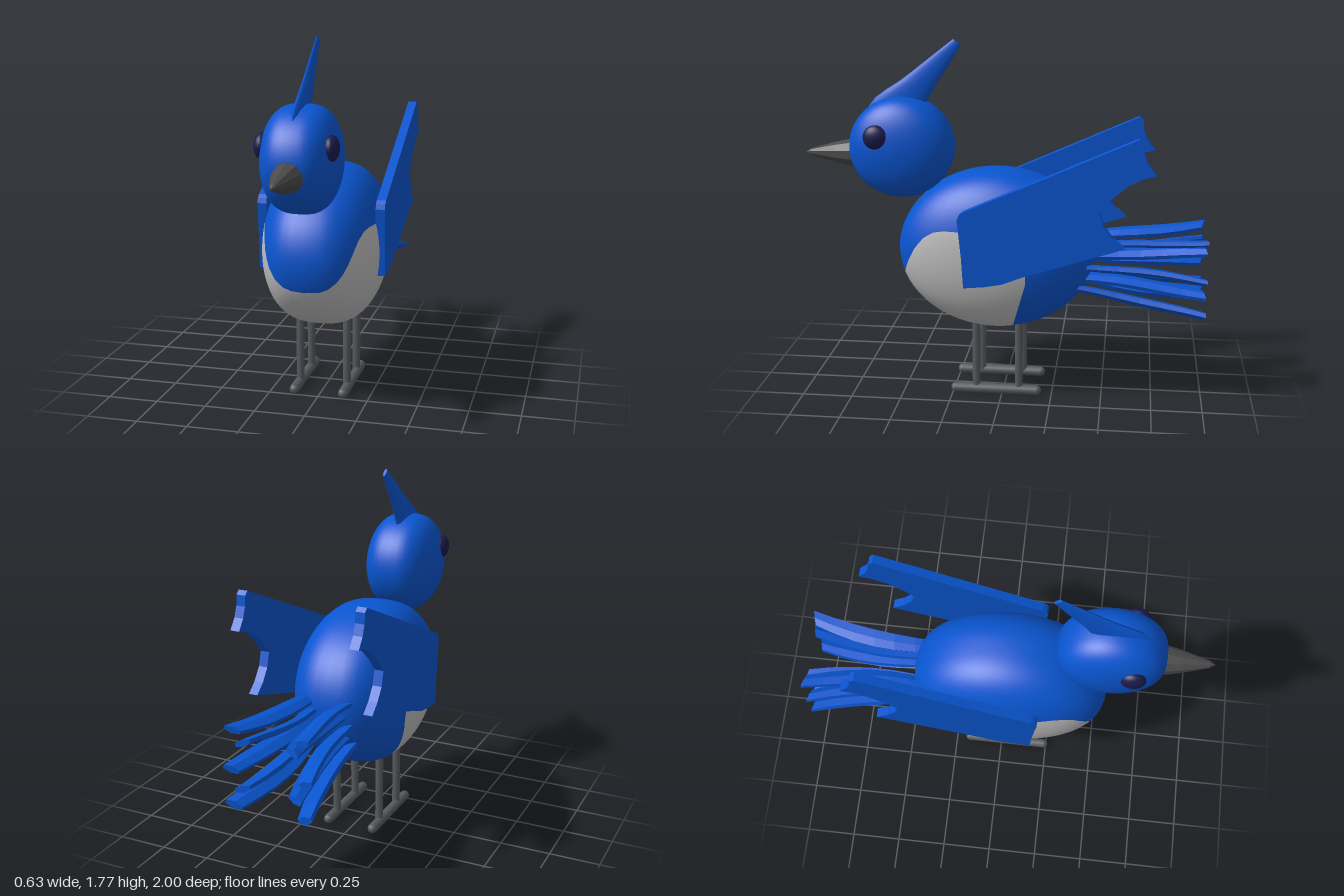
import * as THREE from 'three';

const mat = (name, color) => Object.assign(new THREE.MeshStandardMaterial({ color }), { name });

// Ellipsoid with flattened flanks (squareness below 1 fills out the sides), with exact normals.
function roundedForm(center, radii, squareness) {
  const g = new THREE.SphereGeometry(1, 48, 32);
  const p = g.attributes.position, n = g.attributes.normal, normal = new THREE.Vector3();
  for (let i = 0; i < p.count; i++) {
    const x = p.getX(i), y = p.getY(i), z = p.getZ(i), s = Math.sign(x);
    normal.set(s * Math.abs(x) ** (2 - squareness) / squareness / radii[0], y / radii[1], z / radii[2]).normalize();
    p.setXYZ(i, s * Math.abs(x) ** squareness * radii[0], y * radii[1], z * radii[2]);
    n.setXYZ(i, normal.x, normal.y, normal.z);
  }
  return g.translate(...center);
}

// Splits a geometry along the curve field(x, y, z) = 0; returns the [inside, outside] geometries.
function split(geometry, field) {
  const g = geometry.toNonIndexed();
  const p = g.attributes.position, n = g.attributes.normal;
  const corner = i => [p.getX(i), p.getY(i), p.getZ(i), n.getX(i), n.getY(i), n.getZ(i)];
  return [1, -1].map(sign => {
    const pos = [], nor = [];
    for (let i = 0; i < p.count; i += 3) {
      const tri = [corner(i), corner(i + 1), corner(i + 2)], poly = [];
      tri.forEach((a, k) => {
        const b = tri[(k + 1) % 3];
        const fa = sign * field(...a), fb = sign * field(...b);
        if (fa >= 0) poly.push(a);
        if (fa >= 0 !== fb >= 0) poly.push(a.map((v, j) => v + (b[j] - v) * fa / (fa - fb)));
      });
      for (let k = 2; k < poly.length; k++) {
        for (const v of [poly[0], poly[k - 1], poly[k]]) {
          pos.push(...v.slice(0, 3));
          nor.push(...v.slice(3));
        }
      }
    }
    const out = new THREE.BufferGeometry();
    out.setAttribute('position', new THREE.Float32BufferAttribute(pos, 3));
    out.setAttribute('normal', new THREE.Float32BufferAttribute(nor, 3));
    return out;
  });
}

// Cylinder whose points (u, v on the unit circle, t = 0..1 along) are moved by a rule.
function loft(sides, steps, rule, flat = true) {
  let g = new THREE.CylinderGeometry(1, 1, 1, sides, steps);
  const p = g.attributes.position;
  for (let i = 0; i < p.count; i++) p.setXYZ(i, ...rule(p.getX(i), p.getZ(i), p.getY(i) + 0.5));
  if (flat) g = g.toNonIndexed();
  g.computeVertexNormals();
  return g;
}

export function createModel() {
  const model = new THREE.Group();
  model.name = 'bird';
  const blue = mat('blue plumage', 0x0955d0);
  const white = mat('pale belly', 0xbebebe);
  const eyeColor = mat('dark navy eye', 0x1a1b4c);
  const beakColor = mat('dark grey beak', 0x4b4b4b);
  const legColor = mat('grey legs', 0x575a5e);
  const add = (name, geometry, material, x = 0, y = 0, z = 0) => {
    const m = new THREE.Mesh(geometry, material);
    m.name = name;
    m.position.set(x, y, z);
    model.add(m);
    return m;
  };

  // Body, with the pale belly wrapping round the lower front
  const bellyField = (x, y, z) => {
    const top = 0.89 - 13.2 * Math.max(0, z - 0.22) ** 3;
    const back = -0.06 - 0.07 * THREE.MathUtils.clamp((y - 0.39) / 0.25, 0, 1);
    return Math.min(top - y, z - back);
  };
  const [belly, back] = split(roundedForm([0, 0.75, 0.035], [0.298, 0.4, 0.49], 0.72), bellyField);
  add('belly', belly, white);
  add('body', back, blue);

  // Head
  add('head', roundedForm([0, 1.25, 0.51], [0.182, 0.25, 0.26], 0.68), blue);

  // Beak
  const beakProfile = [[0.078, 0.68], [0.07, 0.77], [0.055, 0.84], [0.036, 0.91], [0.017, 0.975], [0, 1]]
    .map(([r, z]) => new THREE.Vector2(r, z));
  const beak = new THREE.LatheGeometry(beakProfile, 10).rotateX(Math.PI / 2).toNonIndexed();
  beak.computeVertexNormals();
  add('beak', beak, beakColor, 0, 1.21, 0);

  // Crest: thin swept blade between a front and a back edge
  const v3 = (x, y, z) => new THREE.Vector3(x, y, z);
  const crestFront = new THREE.CatmullRomCurve3([v3(0, 1.42, 0.69), v3(0, 1.49, 0.64), v3(0, 1.575, 0.515), v3(0, 1.675, 0.385), v3(0, 1.78, 0.25)]);
  const crestBack = new THREE.CatmullRomCurve3([v3(0, 1.38, 0.42), v3(0, 1.48, 0.38), v3(0, 1.57, 0.33), v3(0, 1.66, 0.27), v3(0, 1.75, 0.215)]);
  add('crest', loft(12, 8, (u, v, t) => {
    const p = crestBack.getPoint(t).lerp(crestFront.getPoint(t), (v + 1) / 2);
    return [u * (0.032 - 0.024 * t), p.y, p.z];
  }, false), blue);

  // Wing outline as (z, y), from the shoulder over the tip and back below
  const outline = [[0.193, 0.96], [0.185, 0.985], [0.165, 1], [-0.655, 1.368], [-0.675, 1.35], [-0.68, 1.3], [-0.7, 1.25],
    [-0.738, 1.2], [-0.68, 1.185], [-0.61, 1.15], [-0.53, 1.08], [-0.48, 1.02], [-0.5, 0.95], [-0.545, 0.89],
    [-0.6, 0.845], [-0.12, 0.69], [-0.02, 0.65], [0.06, 0.635], [0.165, 0.625], [0.175, 0.78]];
  const wingShape = new THREE.Shape(outline.map(([z, y]) => new THREE.Vector2(-z, y)));
  const wing = new THREE.ExtrudeGeometry(wingShape, { depth: 0.045, bevelEnabled: false }).rotateY(Math.PI / 2);

  // Tail feathers: [root height, tip height, root x, tip x, half width, half thickness, roll]
  const feathers = [
    [0.785, 0.845, 0.105, 0.172, 0.044, 0.017, 0.3],
    [0.735, 0.785, 0.08, 0.122, 0.04, 0.017, -0.35],
    [0.69, 0.655, 0.11, 0.185, 0.044, 0.018, 0.35],
    [0.63, 0.57, 0.085, 0.13, 0.042, 0.018, -0.3],
    [0.575, 0.475, 0.11, 0.178, 0.048, 0.021, 0.4],
  ];

  for (const side of [1, -1]) {
    const label = side > 0 ? 'left' : 'right';
    add(label + 'Wing', wing, blue, side > 0 ? 0.272 : -0.317);
    add(label + 'Eye', new THREE.SphereGeometry(1, 20, 14).scale(0.037, 0.06, 0.062), eyeColor, side * 0.158, 1.32, 0.61);

    feathers.forEach(([y0, y1, x0, x1, w, h, roll], i) => {
      const c = Math.cos(roll * side), s = Math.sin(roll * side);
      add(label + 'TailFeather' + (i + 1), loft(6, 6, (u, v, t) => {
        const size = 0.8 + 0.35 * Math.sin(Math.PI * Math.min(1, t * 0.85));
        const a = u * w * size, b = v * h * size;
        const cx = x0 + (x1 - x0) * t ** 1.6 - 0.02 * Math.sin(Math.PI * t);
        const cy = y0 + (y1 - y0) * t + 0.005 * Math.sin(t * 6 + i * 2);
        return [side * cx + a * c - b * s, cy + a * s + b * c, -0.36 - 0.63 * t - 0.01 * u * side * t];
      }), blue);
    });

    // Two legs on each long rounded foot
    for (const [place, z] of [['Front', 0.13], ['Back', -0.085]]) {
      add(label + place + 'Leg', new THREE.CylinderGeometry(0.02, 0.02, 0.42, 10), legColor, side * 0.12, 0.24, z);
    }
    add(label + 'Foot', new THREE.CapsuleGeometry(0.025, 0.41, 4, 10).rotateX(Math.PI / 2), legColor, side * 0.124, 0.03, 0.03);
  }
  return model;
}
